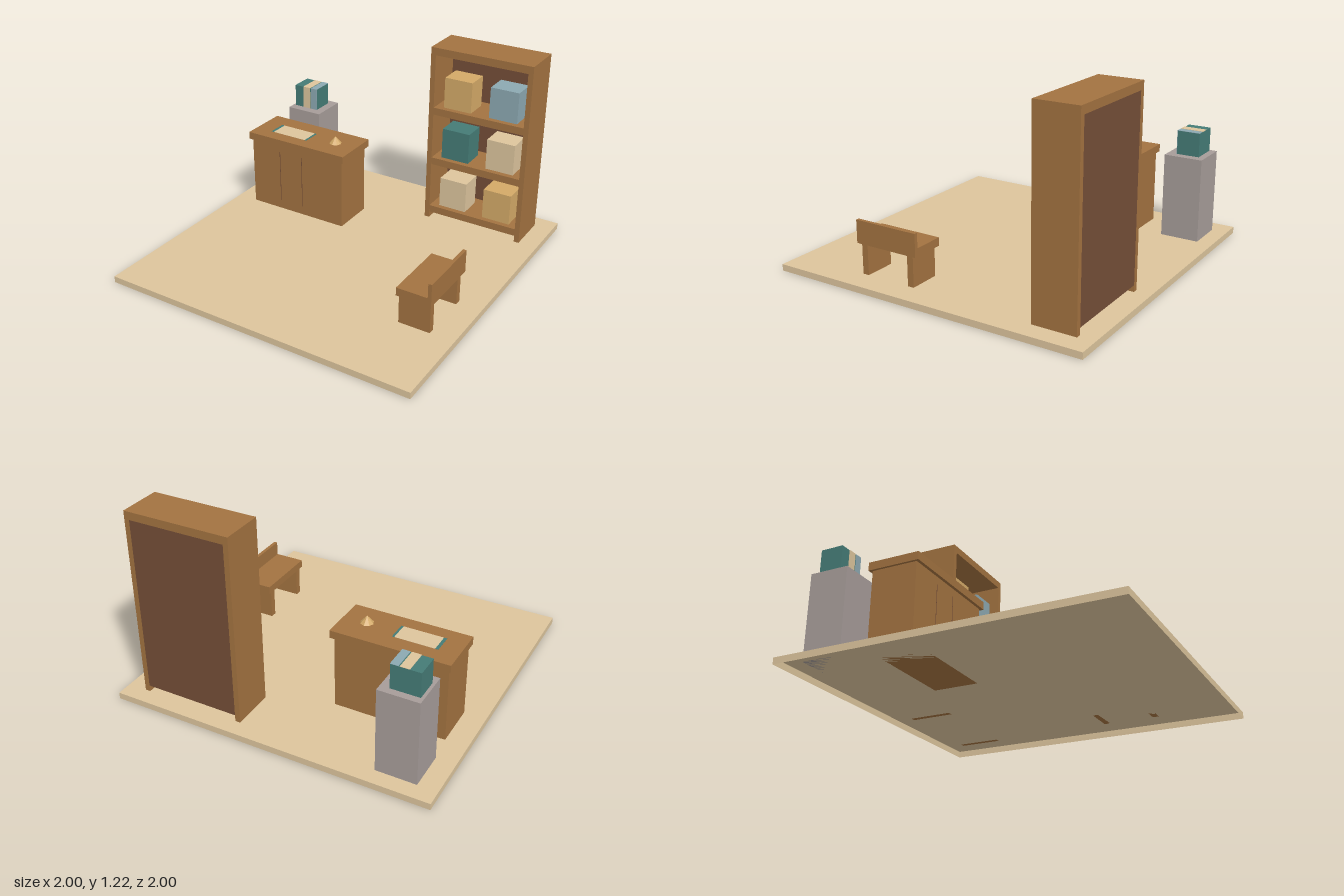
import * as THREE from 'three';

export function createModel() {
  const root = new THREE.Group();
  root.name = 'furnishedRoom';

  const material = (name, color) => {
    const m = new THREE.MeshStandardMaterial({ color });
    m.name = name;
    return m;
  };
  const sand = material('sand', 0xdcc49c);
  sand.side = THREE.DoubleSide; // the floor is an open shell
  const wood = material('wood', 0xa27240);
  const darkWood = material('darkWood', 0x744e37);
  const stone = material('stone', 0xa69c99);
  const teal = material('teal', 0x457b76);
  const blue = material('blue', 0x8ca8b1);
  const gold = material('gold', 0xd3a967);

  const group = (name) => {
    const g = new THREE.Group();
    g.name = name;
    root.add(g);
    return g;
  };

  // Box given by its extents on each axis
  const box = (parent, name, mat, [x0, x1], [y0, y1], [z0, z1]) => {
    const mesh = new THREE.Mesh(new THREE.BoxGeometry(x1 - x0, y1 - y0, z1 - z0), mat);
    mesh.position.set((x0 + x1) / 2, (y0 + y1) / 2, (z0 + z1) / 2);
    mesh.name = name;
    parent.add(mesh);
  };

  // Floor: a thin sheet with a rim folded down on all four sides, open below
  const ground = 0.04;
  const floor = group('floor');
  const sheet = new THREE.Mesh(new THREE.PlaneGeometry(2, 2).rotateX(-Math.PI / 2), sand);
  sheet.name = 'floorSheet';
  sheet.position.y = ground;
  floor.add(sheet);
  for (let i = 0; i < 4; i++) {
    const shape = new THREE.PlaneGeometry(2, ground).translate(0, ground / 2, 1);
    const rim = new THREE.Mesh(shape, sand);
    rim.name = 'floorRim';
    rim.rotation.y = (i * Math.PI) / 2;
    floor.add(rim);
  }

  // Counter with overhanging top and door seams
  const counter = group('counter');
  box(counter, 'counterBody', wood, [-0.865, -0.174], [ground, 0.502], [-0.498, -0.22]);
  box(counter, 'counterTop', wood, [-0.88, -0.153], [0.502, 0.55], [-0.516, -0.201]);
  for (const x of [-0.65, -0.48]) {
    box(counter, 'doorSeam', darkWood, [x - 0.002, x + 0.002], [0.1, 0.455], [-0.221, -0.219]);
  }

  // Scroll lying on the counter, with a band at each end
  const scroll = [[teal, -0.761, -0.742], [sand, -0.742, -0.498], [teal, -0.498, -0.484]];
  for (const [mat, x0, x1] of scroll) {
    box(counter, 'scroll', mat, [x0, x1], [0.549, 0.551], [-0.408, -0.286]);
  }

  // Small faceted cone on the counter
  const coneShape = new THREE.ConeGeometry(0.04, 0.046, 8).toNonIndexed();
  coneShape.computeVertexNormals();
  const cone = new THREE.Mesh(coneShape, gold);
  cone.name = 'cone';
  cone.position.set(-0.302, 0.577, -0.35);
  counter.add(cone);

  // Pedestal carrying a striped box
  const pedestal = group('pedestal');
  box(pedestal, 'pedestalBlock', stone, [-0.88, -0.634], [ground, 0.564], [-0.902, -0.66]);
  box(pedestal, 'stripedBox', teal, [-0.862, -0.689], [0.564, 0.713], [-0.86, -0.717]);
  const stripes = [[sand, [-0.797, -0.741]], [blue, [-0.734, -0.687]]];
  for (const [mat, span] of stripes) {
    box(pedestal, 'topStripe', mat, span, [0.713, 0.715], [-0.86, -0.715]);
    box(pedestal, 'frontStripe', mat, span, [0.564, 0.713], [-0.717, -0.715]);
  }

  // Bookcase frame, shelves and a back panel flush with the frame
  const bookcase = group('bookcase');
  const depth = [-0.901, -0.633];
  for (const x of [0.215, 0.849]) {
    box(bookcase, 'bookcaseSide', wood, [x, x + 0.032], [ground, 1.166], depth);
  }
  box(bookcase, 'bookcaseTop', wood, [0.215, 0.881], [1.166, 1.215], depth);
  for (const y of [0.08, 0.428, 0.773]) {
    box(bookcase, 'shelf', wood, [0.247, 0.849], [y, y + 0.047], [-0.89, -0.635]);
  }
  box(bookcase, 'backPanel', darkWood, [0.247, 0.849], [0.08, 1.166], [-0.901, -0.88]);

  // Two storage boxes on every shelf
  const rows = [[0.127, sand, gold], [0.475, teal, sand], [0.82, gold, blue]];
  for (const [y, ...mats] of rows) {
    mats.forEach((mat, i) => {
      const x = i ? 0.606 : 0.3;
      box(bookcase, 'storageBox', mat, [x, x + 0.185], [y, y + 0.2], [-0.82, -0.67]);
    });
  }

  // Bench with a low backrest
  const bench = group('bench');
  box(bench, 'seat', wood, [0.648, 0.863], [0.227, 0.277], [0.118, 0.533]);
  box(bench, 'backrest', wood, [0.841, 0.863], [0.277, 0.367], [0.118, 0.533]);
  for (const z of [0.146, 0.469]) {
    box(bench, 'benchLeg', wood, [0.655, 0.85], [ground, 0.227], [z, z + 0.04]);
  }

  return root;
}
